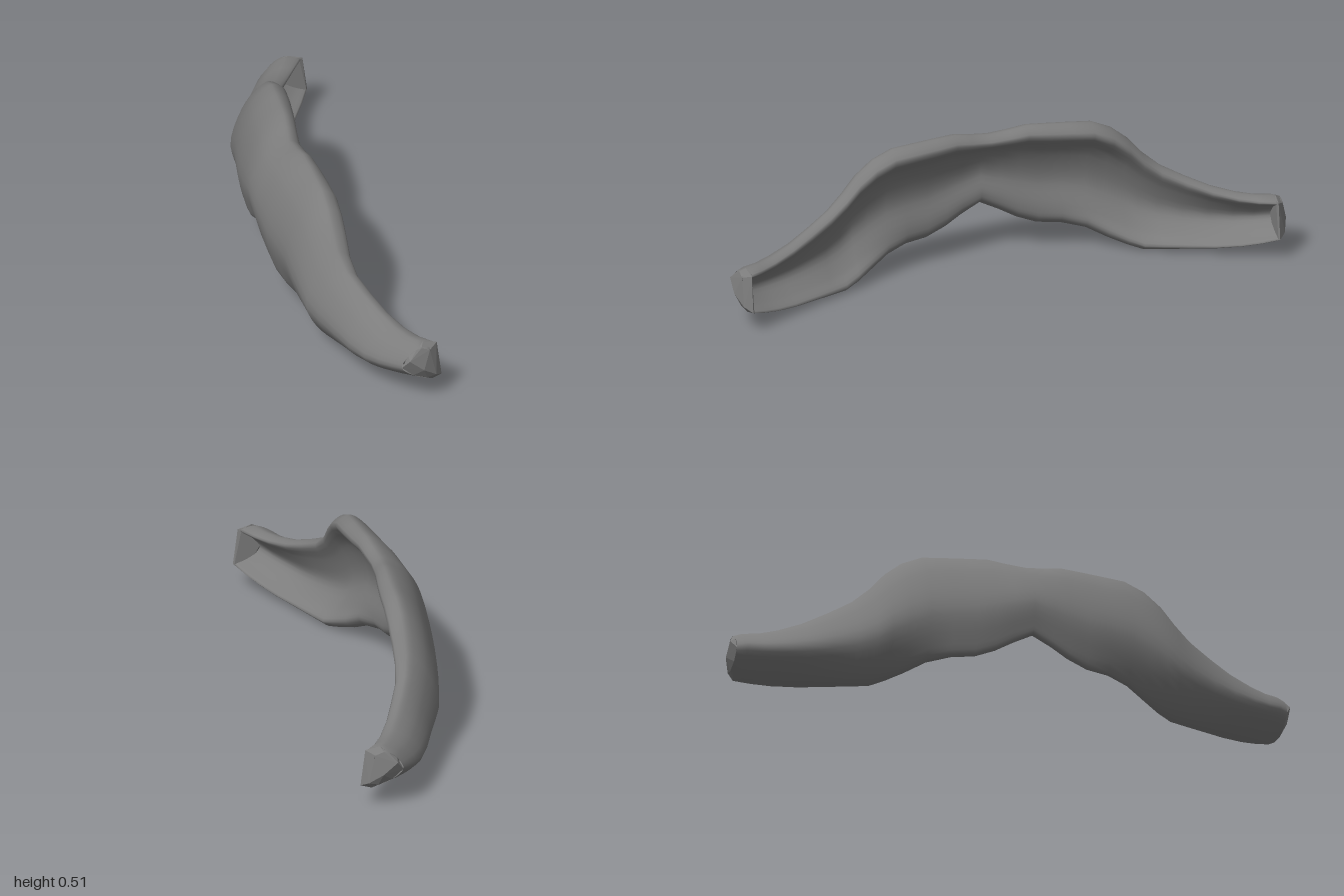
import * as THREE from 'three';
import { ConvexGeometry } from 'three/addons/geometries/ConvexGeometry.js';

const COLOR = 0x7c7c7c;

// Half of the symmetric shape, from the middle outwards:
// z, top y, top x, bottom y, bottom x, outermost x of the bulge, inner rim x
const stations = [
  [0.00, 0.490, -0.070, 0.190, -0.190, -0.222, -0.040],
  [0.07, 0.500, -0.062, 0.155, -0.185, -0.219, -0.033],
  [0.13, 0.512, -0.055, 0.122, -0.175, -0.214, -0.025],
  [0.20, 0.509, -0.050, 0.096, -0.165, -0.208, -0.015],
  [0.28, 0.504, -0.046, 0.090, -0.150, -0.197, -0.006],
  [0.36, 0.498, -0.043, 0.075, -0.115, -0.185, 0.000],
  [0.43, 0.468, -0.042, 0.040, -0.085, -0.176, 0.002],
  [0.49, 0.420, -0.040, 0.018, -0.050, -0.165, 0.002],
  [0.54, 0.362, -0.036, 0.002, -0.030, -0.152, 0.003],
  [0.60, 0.312, -0.018, 0.006, -0.002, -0.125, 0.016],
  [0.68, 0.273, 0.016, 0.012, 0.036, -0.091, 0.050],
  [0.76, 0.240, 0.054, 0.020, 0.078, -0.060, 0.085],
  [0.84, 0.220, 0.092, 0.035, 0.122, -0.024, 0.126],
  [0.90, 0.215, 0.125, 0.053, 0.158, 0.012, 0.162],
  [0.95, 0.220, 0.152, 0.070, 0.185, 0.045, 0.198],
  [0.98, 0.208, 0.145, 0.088, 0.165, 0.076, 0.175],
];
const RING = 44;

// C-shaped cross-section: bulging outside, rounded rims, hollow inside
function section([z, yt, xt, yb, xb, xo, xm], side) {
  const h = yt - yb;
  const wall = 0.062 + 0.02 * z;
  const p = (x, t) => new THREE.Vector3(x, yb + h * t, z * side);
  const mix = THREE.MathUtils.lerp;
  const loop = new THREE.CatmullRomCurve3([
    p(xb, 0),
    p(mix(xo, xb, 0.45), 0.13),
    p(xo, 0.42),
    p(mix(xo, xt, 0.33), 0.79),
    p(mix(xo, xt, 0.75), 0.965),
    p(xt, 1),
    p(xm, 0.91),
    p(mix(xo, xt, 0.3) + wall, 0.72),
    p(xo + wall, 0.42),
    p(mix(xo, xb, 0.35) + wall, 0.18),
    p(xb + 0.033, 0.06),
  ], true, 'centripetal');
  return loop.getPoints(RING).slice(0, RING);
}

// Skin over all cross-sections from one tip to the other
function shellGeometry() {
  const rings = [
    ...stations.slice(1).reverse().map((s) => section(s, -1)),
    ...stations.map((s) => section(s, 1)),
  ];
  const index = [];
  for (let i = 0; i < rings.length - 1; i++) {
    for (let j = 0; j < RING; j++) {
      const k = (j + 1) % RING;
      const a = i * RING + j, b = i * RING + k;
      const c = a + RING, d = b + RING;
      index.push(a, c, b, b, c, d);
    }
  }
  const geometry = new THREE.BufferGeometry().setFromPoints(rings.flat());
  geometry.setIndex(index);
  geometry.computeVertexNormals();
  return geometry;
}

// Faceted plug that fills the hollow at one tip and closes the end
function tipGeometry(side) {
  const [inner, end] = stations.slice(-2).map((s) => section(s, side));
  const hollowSide = inner.slice(RING / 2).filter((_, i) => i % 3 === 0);
  const endRing = end.filter((_, i) => i % 4 === 0);
  const facets = [
    [0.205, 0.21, 0.955], [0.222, 0.08, 0.955], [0.185, 0.072, 0.965],
    [0.155, 0.222, 0.96], [0.1, 0.17, 0.998], [0.15, 0.13, 1],
  ].map(([x, y, z]) => new THREE.Vector3(x, y, z * side));
  return new ConvexGeometry([...hollowSide, ...endRing, ...facets]);
}

export function createModel() {
  const group = new THREE.Group();
  group.name = 'moustache';

  const shell = new THREE.Mesh(
    shellGeometry(),
    new THREE.MeshStandardMaterial({ color: COLOR, side: THREE.DoubleSide }),
  );
  shell.name = 'curvedShell';
  group.add(shell);

  for (const side of [1, -1]) {
    const tip = new THREE.Mesh(
      tipGeometry(side),
      new THREE.MeshStandardMaterial({ color: COLOR, flatShading: true }),
    );
    tip.name = side > 0 ? 'frontTip' : 'backTip';
    group.add(tip);
  }
  return group;
}
